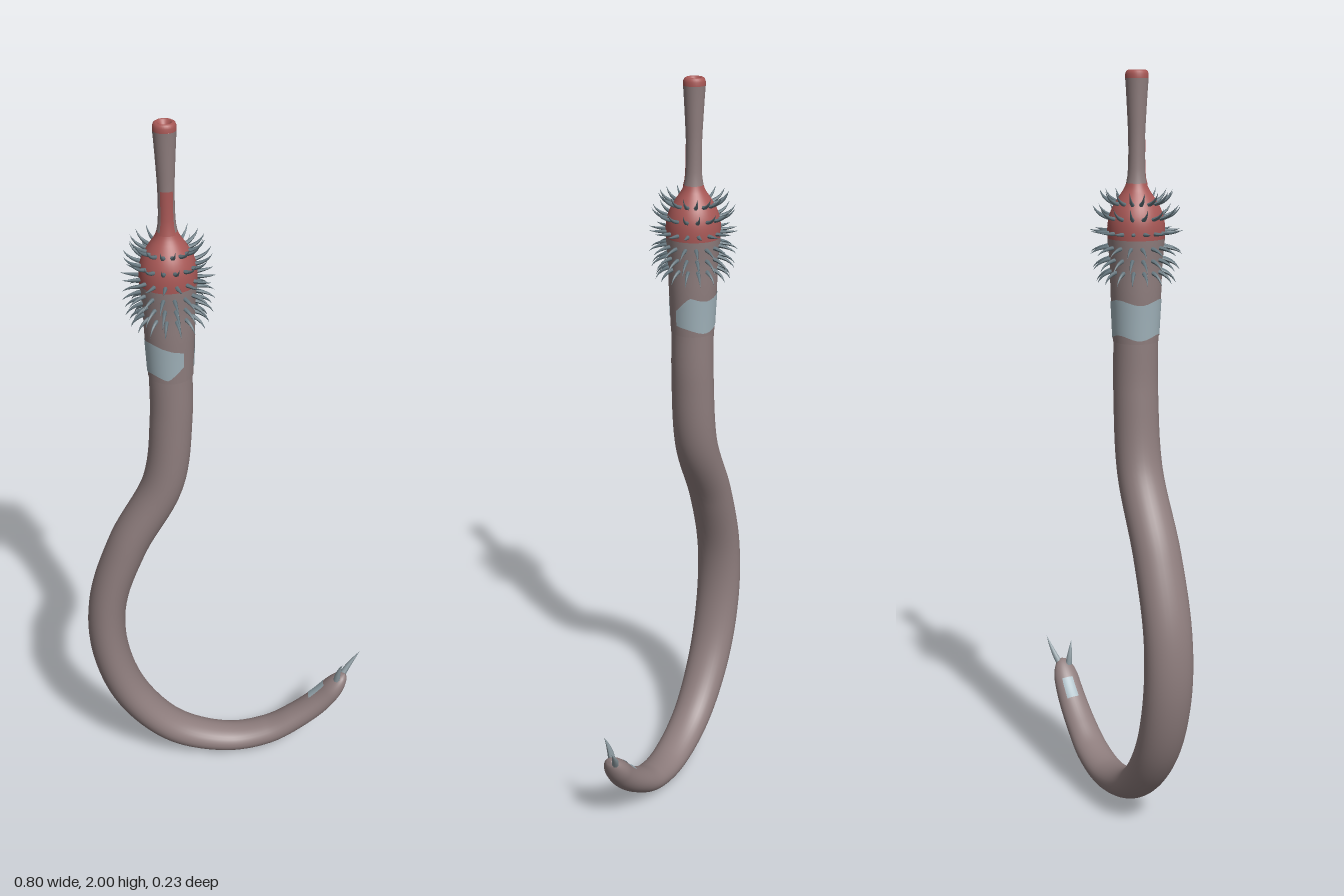
import * as THREE from 'three';
import { mergeGeometries } from 'three/addons/utils/BufferGeometryUtils.js';

const mat = (name, color, side = THREE.FrontSide) => {
  const m = new THREE.MeshStandardMaterial({ color, side });
  m.name = name;
  return m;
};
const SKIN = mat('skin', 0x8f7e7e);
const RED = mat('red flesh', 0xa85856);
const PALE = mat('pale blue patch', 0xa0b2ba, THREE.DoubleSide);
const SPINE = mat('spine grey', 0x66777f);
const CLAW = mat('claw grey', 0x8c9aa0);

const HEAD_X = -0.15;
const DEG = Math.PI / 180;

// Body centre line [x, y] with in-plane radius and sideways radius
const BODY = [
  [-0.15, 1.35, 0.056, 0.057], [-0.152, 1.2, 0.056, 0.058], [-0.178, 1.0, 0.056, 0.06],
  [-0.28, 0.8, 0.055, 0.063], [-0.345, 0.6, 0.053, 0.065], [-0.345, 0.42, 0.053, 0.066],
  [-0.285, 0.24, 0.051, 0.063], [-0.16, 0.095, 0.045, 0.057], [0, 0.039, 0.038, 0.052],
  [0.12, 0.056, 0.037, 0.049], [0.2, 0.101, 0.036, 0.045], [0.28, 0.168, 0.034, 0.041],
  [0.351, 0.262, 0.026, 0.035],
];
const path = new THREE.CatmullRomCurve3(BODY.map(([x, y]) => new THREE.Vector3(x, y, 0)));
const radii = new THREE.SplineCurve(BODY.map(([, , a, b]) => new THREE.Vector2(a, b)));

// Skin of the body between two path values and two angles, lifted outwards by `lift`
function bodySkin(t0, t1, u0, u1, rows, cols, lift = 0) {
  const closed = u1 - u0 > 6.28;
  const n = closed ? cols : cols + 1;
  const pos = [], idx = [];
  for (let i = 0; i <= rows; i++) {
    const k = i / rows;
    const t = t0 + (t1 - t0) * k * (1.5 - 0.5 * k);
    const c = path.getPoint(t), d = path.getTangent(t), r = radii.getPoint(t);
    const s = Math.max(0, (t - 0.95) / 0.05);
    const round = Math.sqrt(Math.max(0, 1 - s * s));
    for (let j = 0; j < n; j++) {
      const u = u0 + ((u1 - u0) * j) / cols;
      const a = (r.x * round + lift) * Math.cos(u);
      pos.push(c.x - d.y * a, c.y + d.x * a, (r.y * round + lift) * Math.sin(u));
    }
  }
  for (let i = 0; i < rows; i++) {
    for (let j = 0; j < cols; j++) {
      const p = i * n + j, q = i * n + ((j + 1) % n);
      idx.push(p, q, p + n, q, q + n, p + n);
    }
  }
  const g = new THREE.BufferGeometry();
  g.setAttribute('position', new THREE.Float32BufferAttribute(pos, 3));
  g.setIndex(idx);
  g.computeVertexNormals();
  return g;
}

// Head profile [y, radius], from collar to snout
const HEAD = [
  [1.335, 0.058], [1.4, 0.061], [1.46, 0.064], [1.53, 0.066], [1.6, 0.072], [1.64, 0.07],
  [1.67, 0.06], [1.695, 0.045], [1.72, 0.029], [1.75, 0.022], [1.83, 0.0205], [1.9, 0.0235],
  [1.96, 0.027], [1.98, 0.0285],
];
function headRadius(y) {
  let i = 0;
  while (i < HEAD.length - 2 && y > HEAD[i + 1][0]) i++;
  const slope = (k) => {
    const a = HEAD[Math.max(0, k - 1)], b = HEAD[Math.min(HEAD.length - 1, k + 1)];
    return (b[1] - a[1]) / (b[0] - a[0]);
  };
  const [y0, r0] = HEAD[i], [y1, r1] = HEAD[i + 1];
  const h = y1 - y0, t = (y - y0) / h, t2 = t * t, t3 = t2 * t;
  return r0 * (2 * t3 - 3 * t2 + 1) + r1 * (3 * t2 - 2 * t3)
    + h * (slope(i) * (t3 - 2 * t2 + t) + slope(i + 1) * (t3 - t2));
}
function headPart(y0, y1, rows, lift = 0, start = 0, sweep = Math.PI * 2) {
  const pts = [];
  for (let i = 0; i <= rows; i++) {
    const y = y0 + ((y1 - y0) * i) / rows;
    pts.push(new THREE.Vector2(headRadius(y) + lift, y));
  }
  return new THREE.LatheGeometry(pts, 40, start, sweep);
}

// Curved spike tapering to a point
function spike(a, b, c, r, sides = 6) {
  const curve = new THREE.QuadraticBezierCurve3(
    new THREE.Vector3(...a), new THREE.Vector3(...b), new THREE.Vector3(...c));
  const rows = 6;
  const g = new THREE.TubeGeometry(curve, rows, r, sides);
  const p = g.attributes.position, v = new THREE.Vector3();
  for (let i = 0; i < p.count; i++) {
    const t = Math.floor(i / (sides + 1)) / rows;
    v.fromBufferAttribute(p, i).lerp(curve.getPointAt(t), Math.pow(t, 1.5));
    p.setXYZ(i, v.x, v.y, v.z);
  }
  g.computeVertexNormals();
  return g;
}

export function createModel() {
  const model = new THREE.Group();
  const head = new THREE.Group();
  head.name = 'head';
  head.position.x = HEAD_X;
  model.add(head);
  const add = (parent, name, geometry, material) => {
    const m = new THREE.Mesh(geometry, material);
    m.name = name;
    parent.add(m);
    return m;
  };

  // Long hooked body and the patch near its tail
  add(model, 'body', bodySkin(0, 1, 0, Math.PI * 2, 130, 32), SKIN);
  add(model, 'tailPatch', bodySkin(0.902, 0.953, -0.65, 0.2, 8, 8, 0.0015), PALE);

  // Collar, bulb, neck and snout
  add(head, 'collar', headPart(1.335, 1.595, 16), SKIN);
  add(head, 'bulb', headPart(1.595, 1.73, 16), RED);
  add(head, 'neck', headPart(1.73, 1.98, 14), SKIN);
  add(head, 'neckStreak', headPart(1.725, 1.835, 6, 0.001, -45 * DEG, 90 * DEG), RED);
  const snout = [[0.0285, 1.98], [0.0285, 1.99], [0.026, 1.997], [0.021, 2], [0.016, 1.998], [0.012, 1.99], [0.006, 1.986], [0, 1.985]];
  add(head, 'snoutTip', new THREE.LatheGeometry(snout.map(([x, y]) => new THREE.Vector2(x, y)), 32), RED);

  // Pale band round the collar, open at the front left, narrowing at its ends
  const band = headPart(1.35, 1.44, 6, 0.0015, 70 * DEG, 320 * DEG);
  const bp = band.attributes.position;
  for (let i = 0; i < bp.count; i++) {
    const k = Math.floor(i / 7) / 40;
    const end = Math.min(1, Math.min(k, 1 - k) / 0.12);
    const mid = k < 0.5 ? 1.375 : 1.405;
    const wave = 0.006 * Math.sin(k * 19);
    const y = mid + (bp.getY(i) - mid) * (0.45 + 0.55 * end) + wave * end;
    const s = (headRadius(y) + 0.0015) / Math.hypot(bp.getX(i), bp.getZ(i));
    bp.setXYZ(i, bp.getX(i) * s, y, bp.getZ(i) * s);
  }
  band.computeVertexNormals();
  add(head, 'collarBand', band, PALE);

  // Rows of hooked spines: root height, tip radius, tip rise
  const rows = [
    [1.68, 0.092, 0.033], [1.645, 0.11, 0.03], [1.61, 0.118, 0.006],
    [1.575, 0.117, -0.018], [1.545, 0.111, -0.028], [1.515, 0.1, -0.03],
  ];
  const spines = [];
  rows.forEach(([y, tip, rise], row) => {
    const root = headRadius(y) - 0.004;
    for (let i = 0; i < 16; i++) {
      const g = spike([root, y, 0], [root + (tip - root) * 0.75, y + rise * 0.2, 0], [tip, y + rise, 0], 0.0055);
      g.rotateY((11.25 + i * 22.5 + ((row % 3) - 1) * 2.5) * DEG);
      spines.push(g);
    }
  });
  add(head, 'spines', mergeGeometries(spines), SPINE);

  // Pair of tail claws
  add(model, 'tailClawLeft', spike([0.324, 0.25, 0.012], [0.325, 0.285, 0.016], [0.337, 0.322, 0.027], 0.01, 8), CLAW);
  add(model, 'tailClawRight', spike([0.344, 0.25, -0.01], [0.362, 0.278, -0.022], [0.398, 0.322, -0.029], 0.01, 8), CLAW);

  return model;
}
